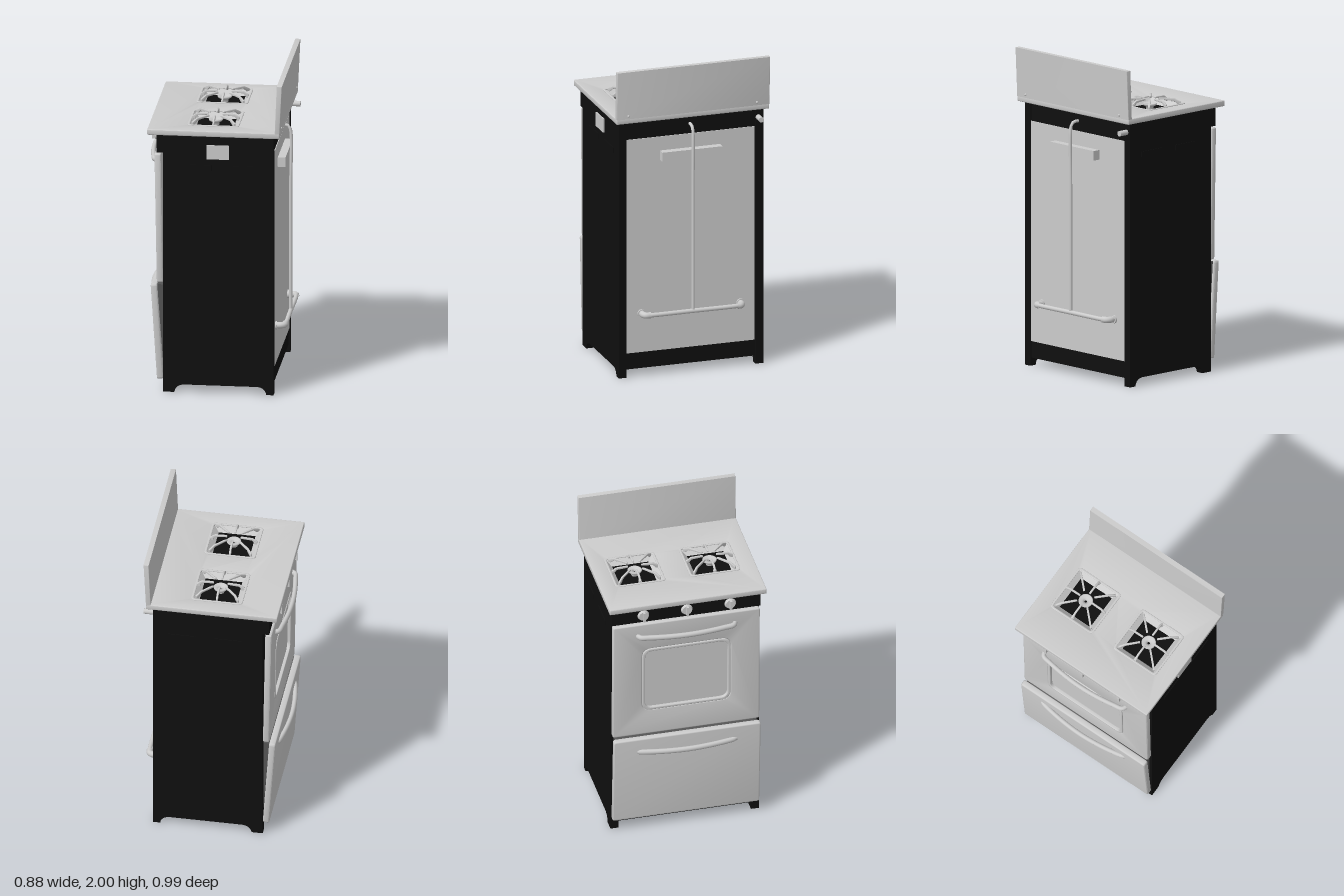
import * as THREE from 'three';
import { toCreasedNormals } from 'three/addons/utils/BufferGeometryUtils.js';

const grey = new THREE.MeshStandardMaterial({ color: 0xcccccc });
const greyTwoSided = new THREE.MeshStandardMaterial({ color: 0xcccccc, side: THREE.DoubleSide });
const black = new THREE.MeshStandardMaterial({ color: 0x0f0f0f });
const dark = new THREE.MeshStandardMaterial({ color: 0x555555 });
const V = (x, y, z) => new THREE.Vector3(x, y, z);

function add(parent, name, geometry, material = grey, x = 0, y = 0, z = 0) {
  const mesh = new THREE.Mesh(geometry, material);
  mesh.name = name;
  mesh.position.set(x, y, z);
  parent.add(mesh);
  return mesh;
}

// Box given by its limits
function box(parent, name, x0, x1, y0, y1, z0, z1, material) {
  return add(parent, name, new THREE.BoxGeometry(x1 - x0, y1 - y0, z1 - z0), material,
    (x0 + x1) / 2, (y0 + y1) / 2, (z0 + z1) / 2);
}

// Rectangle outline with rounded corners
function roundRect(x0, x1, y0, y1, r, Type = THREE.Shape) {
  const s = new Type();
  s.moveTo(x0 + r, y0);
  s.lineTo(x1 - r, y0);
  s.quadraticCurveTo(x1, y0, x1, y0 + r);
  s.lineTo(x1, y1 - r);
  s.quadraticCurveTo(x1, y1, x1 - r, y1);
  s.lineTo(x0 + r, y1);
  s.quadraticCurveTo(x0, y1, x0, y1 - r);
  s.lineTo(x0, y0 + r);
  s.quadraticCurveTo(x0, y0, x0 + r, y0);
  return s;
}

// Extrusion from z = 0 to depth, with an optional bevel kept inside the outline
function extrude(shape, depth, bevel = 0) {
  const g = new THREE.ExtrudeGeometry(shape, {
    depth: depth - 2 * bevel, bevelEnabled: bevel > 0, bevelThickness: bevel,
    bevelSize: bevel, bevelOffset: -bevel, bevelSegments: 3, curveSegments: 6,
  });
  g.translate(0, 0, bevel);
  return toCreasedNormals(g, 0.6);
}

const polygon = (pts) => new THREE.Shape(pts.map(([x, y]) => new THREE.Vector2(x, y)));
const tube = (pts, r, n = 48) =>
  new THREE.TubeGeometry(new THREE.CatmullRomCurve3(pts, false, 'centripetal'), n, r, 12);

function buildCabinet(root) {
  const g = new THREE.Group();
  g.name = 'cabinet';
  root.add(g);
  box(g, 'core', -0.318, 0.355, 0.05, 1.66, -0.425, 0.425, black);
  box(g, 'controlPanel', -0.36, -0.31, 1.54, 1.66, -0.47, 0.47, black);

  // Side panels with arched feet
  const side = new THREE.Shape();
  side.moveTo(-0.32, 0);
  side.lineTo(-0.25, 0);
  side.quadraticCurveTo(-0.245, 0.045, -0.19, 0.05);
  side.lineTo(0.265, 0.05);
  side.quadraticCurveTo(0.315, 0.045, 0.32, 0);
  side.lineTo(0.365, 0);
  side.lineTo(0.365, 1.66);
  side.lineTo(-0.32, 1.66);
  for (const s of [-1, 1]) {
    add(g, 'sidePanel', extrude(side, 0.05), black, 0, 0, s > 0 ? 0.42 : -0.47);
    for (const x of [-0.105, 0.185])
      box(g, 'ventSlot', x - 0.085, x + 0.085, 1.435, 1.47, s * 0.471 - 0.003, s * 0.471 + 0.003, black);
  }
  box(g, 'ratingPlate', -0.05, 0.09, 1.51, 1.6, 0.465, 0.478);

  // Rear
  box(g, 'rearPanel', 0.345, 0.36, 0.155, 1.54, -0.415, 0.42);
  box(g, 'rearFlueBox', 0.355, 0.408, 1.39, 1.45, -0.19, 0.2);
}

function buildPlumbing(root) {
  const g = new THREE.Group();
  g.name = 'gasPipes';
  root.add(g);
  add(g, 'riserPipe', tube([V(0.35, 1.603, 0.005), V(0.385, 1.603, 0.005), V(0.408, 1.592, 0.005),
    V(0.418, 1.565, 0.005), V(0.418, 1.2, 0.005), V(0.418, 0.41, 0.005)], 0.01));
  add(g, 'crossPipe', tube([V(0.35, 0.407, 0.32), V(0.39, 0.407, 0.32), V(0.412, 0.407, 0.312),
    V(0.418, 0.407, 0.28), V(0.418, 0.407, 0), V(0.418, 0.407, -0.28), V(0.412, 0.407, -0.312),
    V(0.39, 0.407, -0.32), V(0.35, 0.407, -0.32)], 0.014, 80));
  for (const s of [-1, 1]) {
    add(g, 'elbow', tube([V(0.365, 0.407, s * 0.32), V(0.395, 0.407, s * 0.32),
      V(0.413, 0.407, s * 0.308), V(0.417, 0.407, s * 0.28)], 0.02, 16));
    const flange = add(g, 'flange', new THREE.CylinderGeometry(0.026, 0.026, 0.012, 20), grey, 0.365, 0.407, s * 0.322);
    flange.rotation.z = Math.PI / 2;
  }
  const stub = add(g, 'gasInlet', new THREE.CylinderGeometry(0.017, 0.017, 0.09, 16), grey, 0.382, 1.6, -0.437);
  stub.rotation.z = Math.PI / 2;
}

// Front panel leaning outward at the top; local +z points out of the front
function frontPanel(root, name, x, y0, height, tilt, handleY, reach, hasWindow) {
  const g = new THREE.Group();
  g.name = name;
  g.position.set(x, y0, 0);
  g.rotation.set(tilt, -Math.PI / 2, 0, 'YXZ');
  root.add(g);
  const shape = roundRect(-0.465, 0.465, 0, height, 0.015);
  if (hasWindow) {
    shape.holes.push(roundRect(-0.28, 0.28, 0.18, 0.64, 0.06, THREE.Path));
    add(g, 'windowGlass', new THREE.BoxGeometry(0.6, 0.5, 0.018), grey, 0, 0.41, 0.015);
    const frame = roundRect(-0.28, 0.28, 0.18, 0.64, 0.06);
    frame.holes.push(roundRect(-0.262, 0.262, 0.198, 0.622, 0.05, THREE.Path));
    add(g, 'windowFrame', extrude(frame, 0.032, 0.004), grey, 0, 0, 0.012);
  }
  add(g, name + 'Face', extrude(shape, 0.04, 0.008));

  // Bowed handle
  const end = 0.04, r = 0.015, out = end + reach - r;
  const handle = add(g, 'handle', tube([V(-0.31, 0, end - 0.01), V(-0.295, 0, out - 0.034),
    V(-0.24, 0, out - 0.022), V(-0.12, 0, out - 0.006), V(0, 0, out), V(0.12, 0, out - 0.006),
    V(0.24, 0, out - 0.022), V(0.295, 0, out - 0.034), V(0.31, 0, end - 0.01)], r, 64), grey, 0, handleY, 0);
  handle.scale.y = 1.15;
}

function buildKnobs(root) {
  for (const z of [-0.275, 0, 0.275]) {
    const g = new THREE.Group();
    g.name = 'knob';
    g.position.set(-0.36, 1.6, z);
    g.rotation.z = Math.PI / 2;
    root.add(g);
    add(g, 'knobStem', new THREE.CylinderGeometry(0.014, 0.014, 0.03, 16), grey, 0, 0.01, 0);
    add(g, 'knobDisc', new THREE.CylinderGeometry(0.03, 0.037, 0.014, 24), grey, 0, 0.023, 0);
    add(g, 'knobGrip', new THREE.BoxGeometry(0.062, 0.022, 0.014), grey, 0, 0.037, 0);
  }
}

function buildCooktop(root) {
  const g = new THREE.Group();
  g.name = 'cooktop';
  root.add(g);
  const cx = -0.019, centres = [-0.242, 0.232], half = 0.148;
  const top = roundRect(-0.415, 0.405, -0.497, 0.497, 0.008);
  for (const z of centres)
    top.holes.push(roundRect(cx - half, cx + half, -z - half, -z + half, 0.02, THREE.Path));
  add(g, 'topSlab', extrude(top, 0.036, 0.005), grey, 0, 1.66, 0).rotation.x = -Math.PI / 2;

  // Leaning backsplash with its foot strip and screws
  add(g, 'backsplash', extrude(polygon([[0.375, 1.69], [0.405, 1.69], [0.42, 2], [0.388, 2]]), 0.994, 0.003), grey, 0, 0, -0.497);
  for (const z of [-0.415, 0.42])
    add(g, 'screw', new THREE.SphereGeometry(0.008, 10, 8), grey, 0.406, 1.71, z);

  const arm = extrude(polygon([[0.042, 0.026], [0.042, 0.034], [0.05, 0.037], [0.118, 0.034],
    [0.148, 0.014], [0.148, -0.004], [0.134, -0.004], [0.114, 0.02]]), 0.012, 0.002);
  arm.translate(0, 0, -0.006);
  for (const z of centres) {
    const b = new THREE.Group();
    b.name = 'burner';
    b.position.set(cx, 1.696, z);
    g.add(b);

    // Raised rim and sloping well
    const rim = roundRect(-0.16, 0.16, -0.16, 0.16, 0.025);
    rim.holes.push(roundRect(-0.146, 0.146, -0.146, 0.146, 0.02, THREE.Path));
    add(b, 'wellRim', extrude(rim, 0.008, 0.003), grey, 0, -0.003, 0).rotation.x = -Math.PI / 2;
    const well = new THREE.CylinderGeometry(half * Math.SQRT2, 0.115 * Math.SQRT2, 0.034, 4, 1, true);
    well.rotateY(Math.PI / 4);
    add(b, 'well', toCreasedNormals(well, 0.5), greyTwoSided, 0, -0.018, 0);

    // Flared burner head with a hollow centre
    const head = [[0.022, -0.036], [0.022, -0.02], [0.042, -0.008], [0.045, 0], [0.04, 0.003],
      [0.022, -0.003], [0.009, -0.008], [0.007, -0.03]].map(([r, y]) => new THREE.Vector2(r, y));
    add(b, 'burnerHead', new THREE.LatheGeometry(head, 28), greyTwoSided);
    add(b, 'burnerHole', new THREE.CylinderGeometry(0.008, 0.008, 0.004, 12), black, 0, -0.018, 0);

    // Eight grate arms, the diagonal ones longer
    for (let i = 0; i < 8; i++) {
      const a = add(b, 'grateArm', arm);
      a.rotation.y = i * Math.PI / 4;
      if (i % 2) a.scale.x = 1.27;
    }
    for (const s of [-1, 1])
      add(b, 'grateFoot', new THREE.BoxGeometry(0.02, 0.014, 0.018), grey, s * 0.138, 0.005, 0);
  }
}

export function createModel() {
  const root = new THREE.Group();
  root.name = 'stove';
  buildCabinet(root);
  buildPlumbing(root);
  frontPanel(root, 'ovenDoor', -0.319, 0.7, 0.83, 0.018, 0.745, 0.067, true);
  frontPanel(root, 'drawer', -0.318, 0.08, 0.612, 0.065, 0.515, 0.047, false);
  // Filler behind the leaning drawer front
  add(root, 'drawerBody', extrude(polygon([[-0.315, 0.1], [-0.315, 0.685], [-0.357, 0.685]]), 0.9), dark, 0, 0, -0.45);
  buildKnobs(root);
  buildCooktop(root);
  return root;
}
